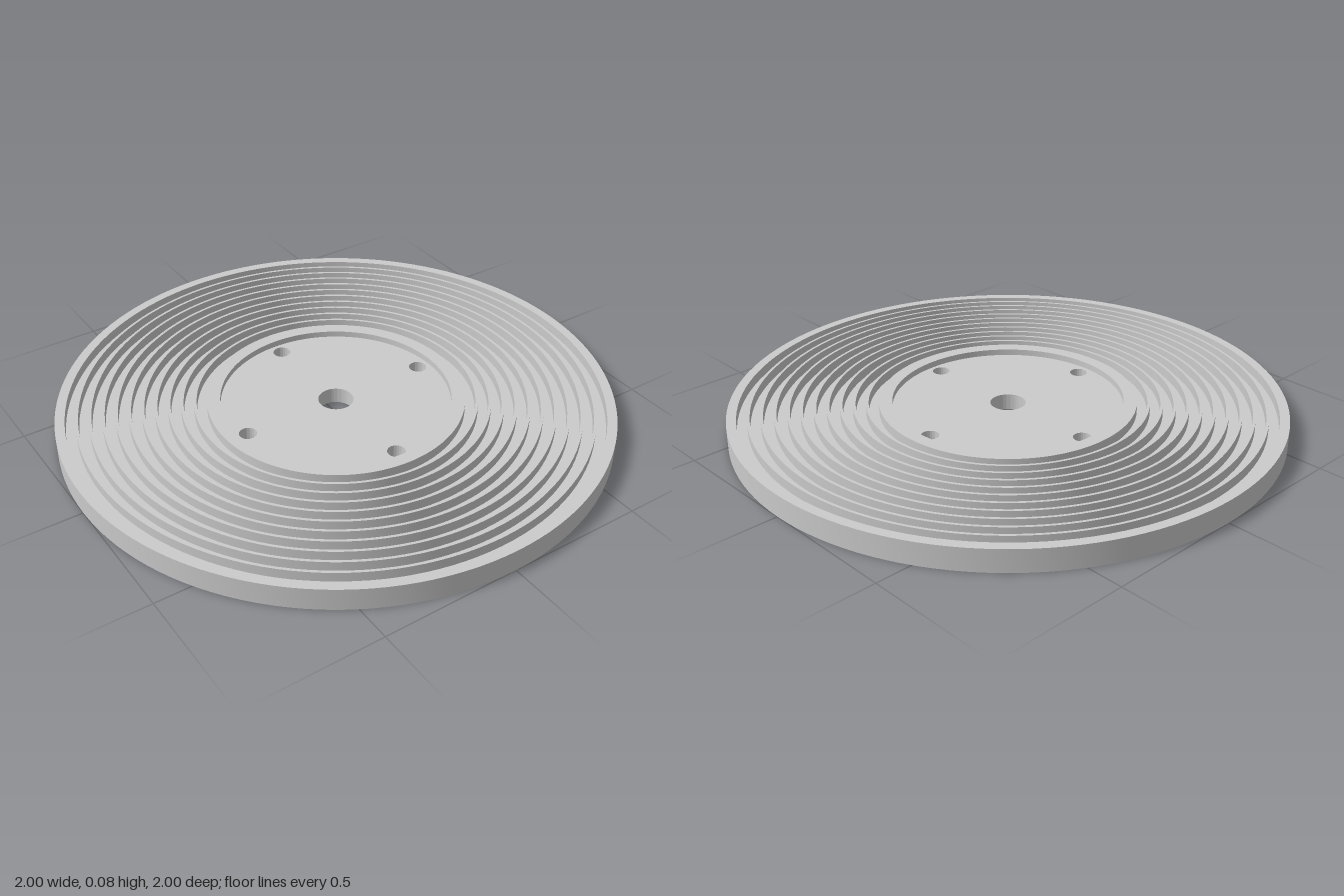
import * as THREE from 'three';
import { toCreasedNormals } from 'three/addons/utils/BufferGeometryUtils.js';

const HEIGHT = 0.083;
const RIM_IN = 0.965;      // inner edge of the outer rim
const COLLAR_OUT = 0.465;  // outer edge of the raised collar
const COLLAR_IN = 0.417;
const HUB_TOP = 0.06;
const FINS = 10, FIN_T = 0.01;
const WEB_LOW = 0.036, WEB_HIGH = 0.047;

// Radii of every fin edge, from the rim inwards
function finEdges() {
  const gap = (RIM_IN - COLLAR_OUT - FINS * FIN_T) / (FINS + 1);
  const edges = [];
  for (let i = 0; i < FINS; i++) {
    const outer = RIM_IN - gap - i * (gap + FIN_T);
    edges.push([outer, outer - FIN_T]);
  }
  return edges;
}

// One face of the ribbed section, from the rim inwards
function ribbedFace(faceY, webY) {
  const pts = [[1, faceY], [RIM_IN, faceY], [RIM_IN, webY]];
  for (const [outer, inner] of finEdges()) {
    pts.push([outer, webY], [outer, faceY], [inner, faceY], [inner, webY]);
  }
  pts.push([COLLAR_OUT, webY], [COLLAR_OUT, faceY], [COLLAR_IN, faceY]);
  return pts;
}

export function createModel() {
  const group = new THREE.Group();
  const material = new THREE.MeshStandardMaterial({ color: 0xcccccc });

  // Rim, web, concentric fins on both faces, and collar
  const profile = [...ribbedFace(HEIGHT, WEB_HIGH), ...ribbedFace(0, WEB_LOW).reverse()];
  profile.push(profile[0]);
  const ringGeometry = new THREE.LatheGeometry(profile.map(([r, y]) => new THREE.Vector2(r, y)), 128);
  const ring = new THREE.Mesh(toCreasedNormals(ringGeometry, 0.5), material);
  ring.name = 'ribbedRing';
  group.add(ring);

  // Recessed hub plate with a centre bore and four bolt holes
  const plate = new THREE.Shape().absarc(0, 0, COLLAR_IN, 0, Math.PI * 2);
  const addHole = (x, y, r) => plate.holes.push(new THREE.Path().absarc(x, y, r, 0, Math.PI * 2, true));
  addHole(0, 0, 0.064);
  for (let i = 0; i < 4; i++) {
    const a = i * Math.PI / 2;
    addHole(0.37 * Math.cos(a), 0.37 * Math.sin(a), 0.032);
  }
  const hubGeometry = new THREE.ExtrudeGeometry(plate, { depth: HUB_TOP, bevelEnabled: false, curveSegments: 64 });
  hubGeometry.rotateX(-Math.PI / 2);
  const hub = new THREE.Mesh(toCreasedNormals(hubGeometry, 0.5), material);
  hub.name = 'hubPlate';
  group.add(hub);

  return group;
}
